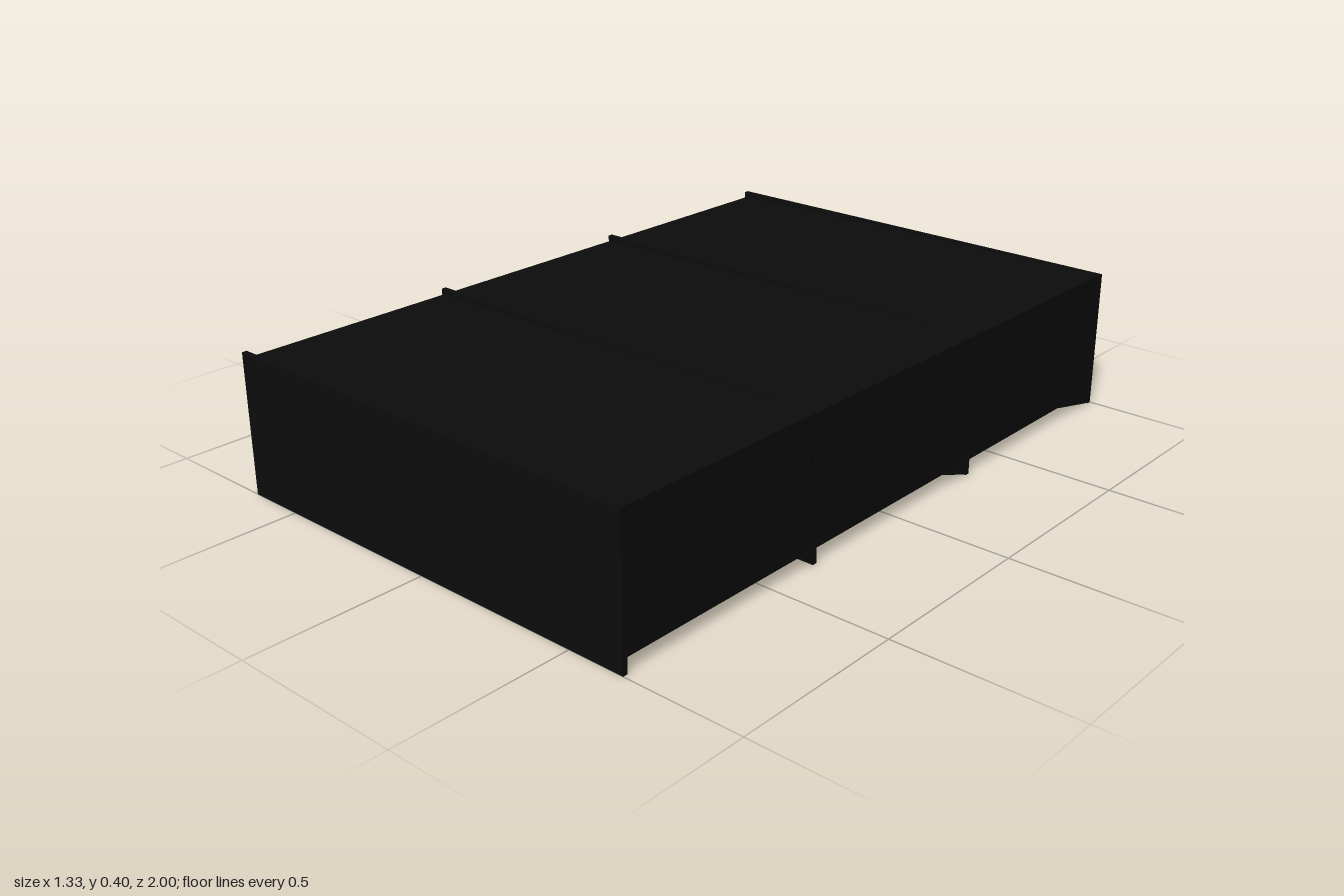
import * as THREE from 'three';
import { ConvexGeometry } from 'three/addons/geometries/ConvexGeometry.js';

const HALF_W = 0.665, TOP = 0.4, FLOOR = 0.04;

export function createModel() {
  const group = new THREE.Group();
  const black = new THREE.MeshStandardMaterial({ color: 0x0c0c0c });
  black.name = 'black';

  const add = (name, geometry) => {
    const mesh = new THREE.Mesh(geometry, black);
    mesh.name = name;
    group.add(mesh);
    return mesh;
  };

  // Main slab, its top dipping slightly towards -x
  const slab = new THREE.BoxGeometry(2 * HALF_W - 0.004, TOP - FLOOR - 0.001, 1.992);
  slab.translate(0, (TOP + FLOOR) / 2, 0);
  const pos = slab.attributes.position;
  for (let i = 0; i < pos.count; i++) {
    if (pos.getX(i) < 0 && pos.getY(i) > 0.3) pos.setY(i, TOP - 0.018);
  }
  slab.computeVertexNormals();
  add('body', slab);

  // Full-height cross bands, each with a wedge below that tapers out towards -x
  const bands = [
    { name: 'frontBand', z: 0.993, ramp: 0.005 },
    { name: 'middleFrontBand', z: 0.335, ramp: 0.06 },
    { name: 'middleBackBand', z: -0.335, ramp: 0.12 },
    { name: 'backBand', z: -0.993, ramp: 0.18 },
  ];
  for (const { name, z, ramp } of bands) {
    add(name, new THREE.BoxGeometry(2 * HALF_W, TOP, 0.014)).position.set(0, TOP / 2, z);
    const v = (x, y, dz) => new THREE.Vector3(x, y, z + dz);
    add(name + 'Wedge', new ConvexGeometry([
      v(HALF_W, FLOOR, ramp), v(HALF_W, FLOOR, 0), v(HALF_W, 0, 0),
      v(-HALF_W, FLOOR, 0), v(-HALF_W, 0, 0),
    ]));
  }
  return group;
}
